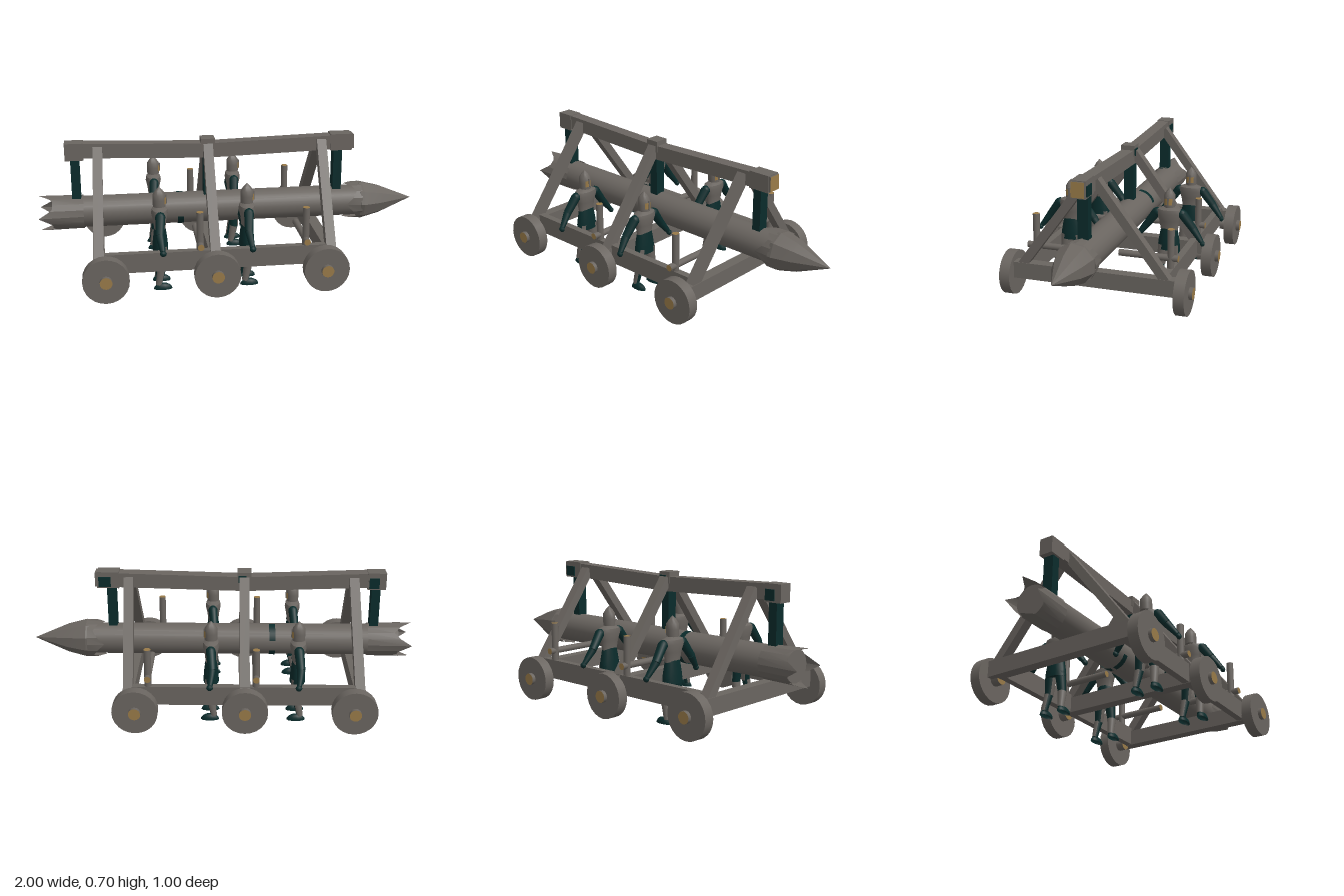
import * as THREE from 'three';
import { toCreasedNormals } from 'three/addons/utils/BufferGeometryUtils.js';

const mat = (name, color) => {
  const m = new THREE.MeshStandardMaterial({ color, side: THREE.DoubleSide });
  m.name = name;
  return m;
};
const V = (x, y, z) => new THREE.Vector3(x, y, z);

export function createModel() {
  const model = new THREE.Group();
  model.name = 'batteringRam';
  const wood = mat('weathered grey', 0x6a6560);
  const dark = mat('dark teal', 0x0a2b2b);
  const tan = mat('cut wood tan', 0x987a48);
  const capped = [wood, tan, tan];

  const add = (parent, name, geo, material, x = 0, y = 0, z = 0) => {
    const m = new THREE.Mesh(geo, material);
    m.name = name;
    m.position.set(x, y, z);
    parent.add(m);
    return m;
  };
  const box = (parent, name, w, h, d, x, y, z, material = wood) =>
    add(parent, name, new THREE.BoxGeometry(w, h, d), material, x, y, z);

  // Tapered round bar between two points, optionally only a partial arc
  const rod = (parent, name, a, b, r0, r1, material, sides = 12, start = 0, arc = Math.PI * 2) => {
    const dir = b.clone().sub(a);
    const m = add(parent, name, new THREE.CylinderGeometry(r1, r0, dir.length(), sides, 1, arc < 6, start, arc), material);
    m.position.copy(a).add(b).multiplyScalar(0.5);
    m.quaternion.setFromUnitVectors(V(0, 1, 0), dir.normalize());
    return m;
  };
  // Square timber between two points
  const timber = (name, a, b, w, d, material = wood) => {
    const dir = b.clone().sub(a);
    const m = box(model, name, w, dir.length(), d, 0, 0, 0, material);
    m.position.copy(a).add(b).multiplyScalar(0.5);
    m.quaternion.setFromUnitVectors(V(0, 1, 0), dir.normalize());
  };

  // Wheels, cross beams and A-frames
  const stations = [[-0.668, -0.7, -0.685], [-0.12, -0.12, -0.117], [0.43, 0.468, 0.483]];
  for (const [wheelX, beamX, topX] of stations) {
    box(model, 'crossBeam', 0.057, 0.085, 0.84, beamX, 0.153, 0);
    for (const s of [1, -1]) {
      rod(model, 'wheel', V(wheelX, 0.117, s * 0.426), V(wheelX, 0.117, s * 0.481), 0.115, 0.115, wood, 24);
      rod(model, 'hub', V(wheelX, 0.117, s * 0.383), V(wheelX, 0.117, s * 0.5), 0.031, 0.031, capped, 14);
      timber('frameLeg', V(beamX, 0.165, s * 0.39), V(topX, 0.66, s * 0.022), 0.05, 0.045);
    }
  }

  // Side rails with posts and push bars
  const sides = [
    { s: 1, z: 0.357, barY: 0.241, xs: [-0.195, 0.342] },
    { s: -1, z: -0.366, barY: 0.263, xs: [-0.176, 0.368] },
  ];
  for (const { s, z, barY, xs } of sides) {
    box(model, 'sideRail', 1.13, 0.1, 0.036, -0.115, 0.163, z);
    for (const x of xs) {
      rod(model, 'post', V(x, 0.15, z), V(x, 0.412, z), 0.018, 0.018, capped);
      rod(model, 'pushBar', V(x, barY, s * 0.1), V(x, barY, s * 0.405), 0.017, 0.017, capped);
    }
  }

  // Sagging ridge beam
  const ridge = [V(-0.85, 0.657, 0.005), V(-0.12, 0.633, 0.005), V(0.66, 0.655, 0.005)];
  const ends = [wood, wood, tan, tan, wood, wood];
  timber('ridgeBeam', ridge[0], ridge[1], 0.076, 0.066, ends);
  timber('ridgeBeam', ridge[1], ridge[2], 0.076, 0.066, ends);

  // Rope collars on the ridge and hanging straps
  for (const [x, w, y, h, strapX] of [
    [-0.805, 0.095, 0.65, 0.09, -0.803], [-0.117, 0.072, 0.667, 0.06, -0.117], [0.592, 0.115, 0.653, 0.088, 0.577]]) {
    box(model, 'ridgeCollar', w, h, 0.074, x, y, 0.005);
    box(model, 'collarBinding', w * 0.55, h * 0.6, 0.008, x + w * 0.15, y - h * 0.1, -0.034, dark);
    box(model, 'hangingStrap', 0.046, 0.25, 0.055, strapX, 0.49, 0.003, dark);
  }

  // Ram log along x
  const ramY = 0.315;
  const alongX = (g) => toCreasedNormals(g.rotateZ(-Math.PI / 2), 0.6);
  const log = new THREE.CylinderGeometry(0.082, 0.082, 1.63, 20);
  add(model, 'ramLog', alongX(log), wood, -0.115, ramY, -0.003);

  // Sleeve whose far rim is cut into four points
  const toothed = (name, rimX, notchX, tipX, rimR, tipR) => {
    const n = 16, g = new THREE.CylinderGeometry(1, 1, 1, n, 1, true);
    const p = g.attributes.position;
    for (let i = 0; i < p.count; i++) {
      const j = i % (n + 1), a = (j / n) * Math.PI * 2;
      const rim = i <= n, k = [1, 0.35, 0, 0.35][j % 4];
      const r = rim ? rimR : rimR + (tipR - rimR) * k;
      p.setXYZ(i, rim ? rimX : notchX + (tipX - notchX) * k, r * Math.cos(a), r * Math.sin(a));
    }
    g.computeVertexNormals();
    add(model, name, toCreasedNormals(g, 0.3), wood, 0, ramY, -0.003);
  };
  toothed('tailSleeve', -0.77, -0.91, -1.0, 0.087, 0.095);
  toothed('headSleeve', 0.71, 0.68, 0.62, 0.1, 0.094);

  // Faceted ram head
  const profile = [[0, 0.69], [0.1, 0.7], [0.102, 0.72], [0.076, 0.82], [0, 1.0]];
  const head = new THREE.LatheGeometry(profile.map(([r, y]) => new THREE.Vector2(r, y)), 9);
  add(model, 'ramHead', toCreasedNormals(head.rotateZ(-Math.PI / 2), 0.15), wood, 0, ramY, 0);

  // Dark binding pieces around the log
  for (const [start, arc] of [[0.3, 1.1], [1.6, 1.1], [3.4, 1.3]]) {
    const band = new THREE.CylinderGeometry(0.085, 0.085, 0.032, 8, 1, true, start, arc);
    add(model, 'logBinding', band.rotateZ(-Math.PI / 2), dark, -0.266, ramY, -0.003);
  }

  // Soldiers facing +x
  const lathe = (parent, name, pts, depth, material) => {
    const g = new THREE.LatheGeometry(pts.map(([r, y]) => new THREE.Vector2(r, y)), 16);
    g.scale(depth, 1, 1);
    g.computeVertexNormals();
    return add(parent, name, toCreasedNormals(g, 0.7), material);
  };
  const soldier = (x, z) => {
    const man = new THREE.Group();
    man.name = 'soldier';
    man.position.set(x, 0, z);
    lathe(man, 'skirt', [[0, 0.2], [0.06, 0.195], [0.057, 0.24], [0.044, 0.31]], 0.66, dark);
    lathe(man, 'cuirass', [[0.049, 0.265], [0.046, 0.3], [0.055, 0.35], [0.07, 0.39], [0.064, 0.412], [0.03, 0.425], [0, 0.43]], 0.6, wood);
    lathe(man, 'helmet', [[0, 0.42], [0.029, 0.425], [0.03, 0.46], [0.029, 0.488], [0.017, 0.508], [0, 0.527]], 1.1, wood);
    // Face opening with a nose guard
    const face = new THREE.CylinderGeometry(0.0305, 0.0305, 0.034, 8, 1, true, Math.PI / 2 - 0.75, 1.5);
    add(man, 'face', face.scale(1.12, 1, 1), tan, 0.001, 0.457, 0);
    box(man, 'noseGuard', 0.006, 0.045, 0.009, 0.035, 0.462, 0);
    for (const s of [1, -1]) {
      const shoulder = V(0, 0.392, s * 0.068), elbow = V(-0.008, 0.315, s * 0.125), wrist = V(0.002, 0.25, s * 0.174);
      add(man, 'shoulder', new THREE.SphereGeometry(0.025, 10, 8), dark, 0, 0.39, s * 0.066);
      rod(man, 'upperArm', shoulder, elbow, 0.025, 0.021, dark, 10);
      rod(man, 'forearm', elbow, wrist, 0.021, 0.013, dark, 10);
      const hand = add(man, 'hand', new THREE.SphereGeometry(0.014, 8, 6), dark, 0.004, 0.241, s * 0.18);
      hand.scale.set(1.2, 1.1, 0.9);
      const hip = V(0, 0.22, s * 0.03), knee = V(0.004, 0.11, s * 0.042), ankle = V(-0.014, 0.02, s * 0.05);
      rod(man, 'thigh', hip, knee, 0.029, 0.021, dark, 10);
      rod(man, 'shin', knee, ankle, 0.021, 0.014, dark, 10);
      // Armour on the front of the legs
      rod(man, 'thighPlate', hip, knee, 0.032, 0.024, wood, 8, 0.1, Math.PI - 0.2);
      rod(man, 'shinPlate', knee, ankle, 0.024, 0.017, wood, 8, 0.1, Math.PI - 0.2);
      const foot = add(man, 'foot', new THREE.SphereGeometry(1, 10, 6, 0, Math.PI * 2, 0, Math.PI / 2), dark, 0.006, 0, s * 0.054);
      foot.scale.set(0.047, 0.032, 0.021);
    }
    model.add(man);
  };
  for (const x of [-0.39, 0.052]) for (const z of [0.278, -0.268]) soldier(x, z);

  return model;
}
